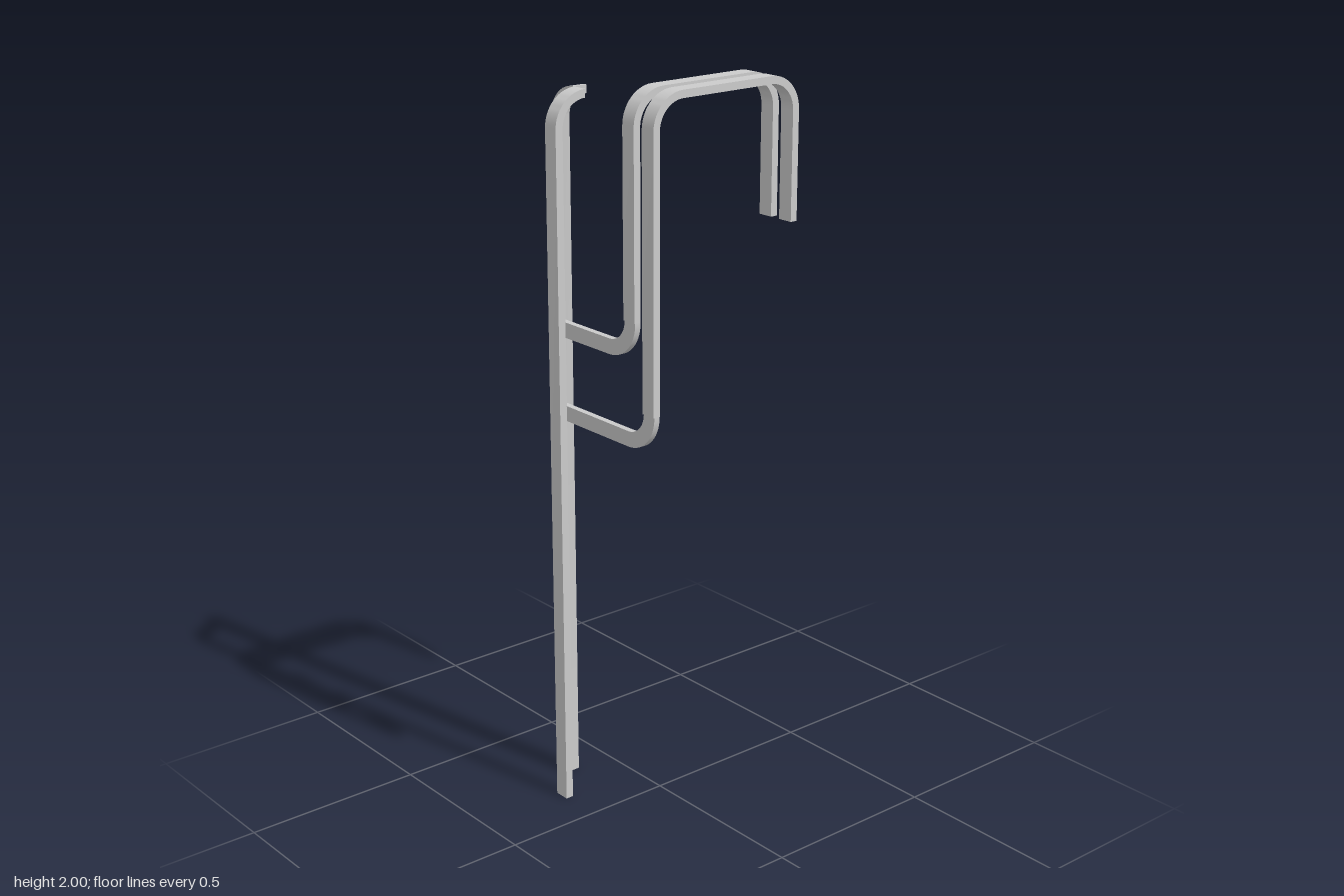
import * as THREE from 'three';
import { toCreasedNormals } from 'three/addons/utils/BufferGeometryUtils.js';

const material = new THREE.MeshStandardMaterial({ color: 0xcccccc });

// Flat bar following a cornered path with rounded elbows, extruded sideways about its middle.
function bar(name, path, radius, thickness, width) {
  const pts = path.map(([x, y]) => new THREE.Vector2(x, y));
  const outer = [], inner = [];
  const add = (p, dir) => {
    const n = new THREE.Vector2(-dir.y, dir.x).multiplyScalar(thickness / 2);
    outer.push(p.clone().add(n));
    inner.unshift(p.clone().sub(n));
  };
  const heading = (i) => pts[i + 1].clone().sub(pts[i]).normalize();

  add(pts[0], heading(0));
  for (let i = 1; i < pts.length - 1; i++) {
    const a = heading(i - 1), b = heading(i);
    const centre = pts[i].clone().addScaledVector(a, -radius).addScaledVector(b, radius);
    const steps = 14;
    for (let k = 0; k <= steps; k++) {
      const t = (k / steps) * Math.PI / 2, c = Math.cos(t), s = Math.sin(t);
      const p = centre.clone().addScaledVector(b, -radius * c).addScaledVector(a, radius * s);
      add(p, a.clone().multiplyScalar(c).addScaledVector(b, s));
    }
  }
  add(pts[pts.length - 1], heading(pts.length - 2));

  const geo = new THREE.ExtrudeGeometry(new THREE.Shape([...outer, ...inner]), { depth: width, bevelEnabled: false });
  geo.translate(0, 0, -width / 2);
  const mesh = new THREE.Mesh(toCreasedNormals(geo, 0.6), material);
  mesh.name = name;
  return mesh;
}

// Same bar, with its path drawn in the z-y plane.
function sideBar(name, path, radius, thickness, width, x) {
  const mesh = bar(name, path, radius, thickness, width);
  mesh.geometry.rotateY(-Math.PI / 2);
  mesh.position.x = x;
  return mesh;
}

export function createModel() {
  const model = new THREE.Group();
  const r = 0.082, t = 0.02, w = 0.043;

  // Two parallel runs: an overhead arch, then an elbow and arm to the back
  const runs = [
    { name: 'frontRun', z: 0.225, armY: 1.12 },
    { name: 'rearRun', z: 0.152, armY: 1.345 },
  ];
  for (const { name, z, armY } of runs) {
    const run = new THREE.Group();
    run.name = name;
    const elbowY = armY + r;
    const arch = bar('arch', [[-0.216, elbowY], [-0.216, 1.99], [0.232, 1.99], [0.232, 1.625]], r, t, w);
    arch.position.z = z;
    const arm = sideBar('arm', [[z, elbowY + 0.001], [z, armY], [-0.14, armY]], r, 0.041, 0.017, -0.214);
    run.add(arch, arm);
    model.add(run);
  }

  // Tall riser bending inward at the top
  const riser = bar('sideRiser', [[-0.233, 0], [-0.233, 1.943], [-0.15, 1.943]], r, t + 0.002, w);
  riser.position.z = -0.131;
  model.add(riser);

  // Tall riser at the back bending forward at the top
  model.add(sideBar('backRiser', [[-0.239, 0], [-0.239, 1.943], [-0.156, 1.943]], r, t + 0.002, w, -0.131));

  return model;
}
